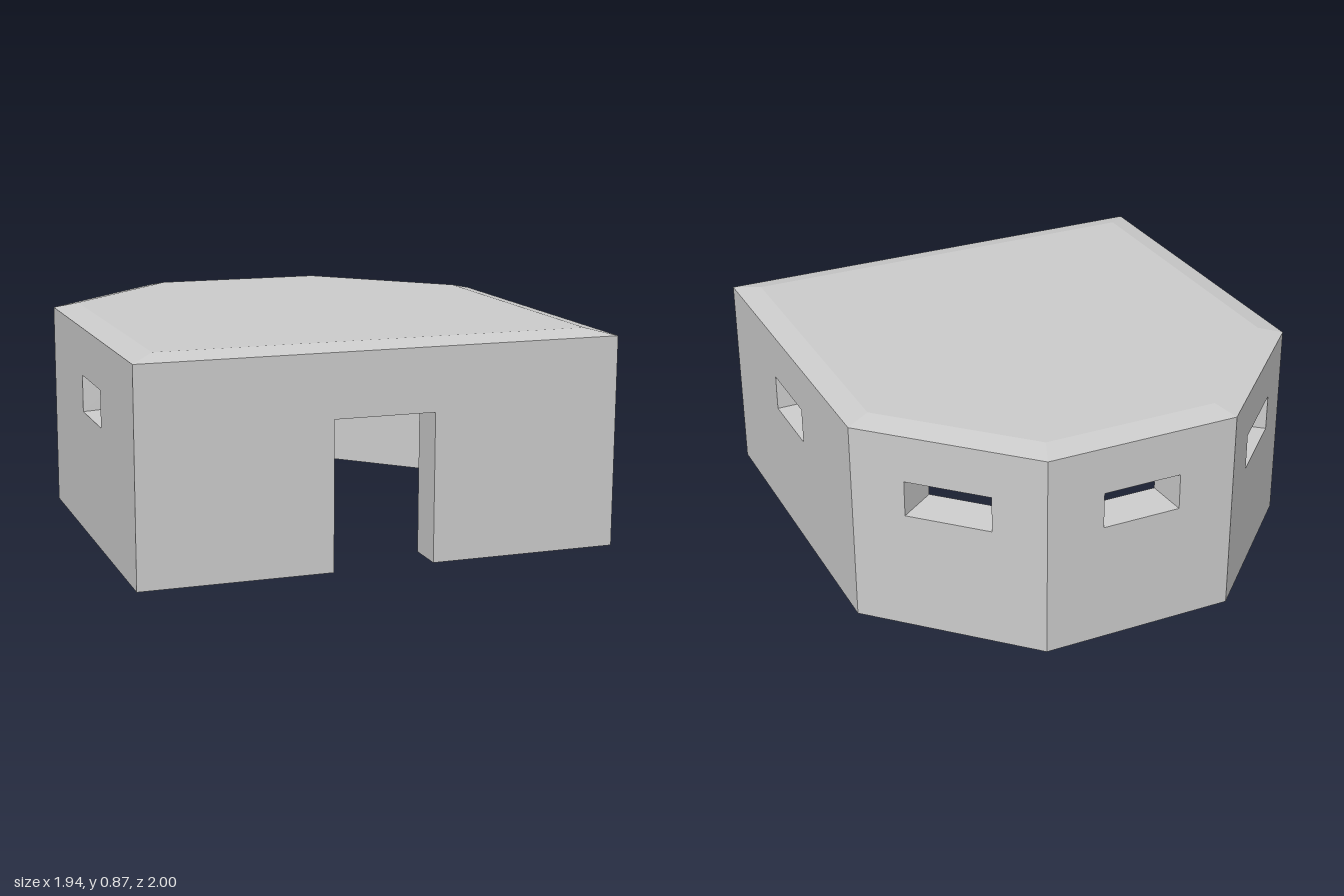
import * as THREE from 'three';

const WALL_H = 0.845, ROOF_H = 0.867, CEILING = 0.69, T = 0.16;
const material = new THREE.MeshStandardMaterial({ color: 0xcccccc, flatShading: true });

// Ground plan corners (x, z), starting at the front right, each wall running to the next corner
const plan = [[-0.968, 1], [0.968, 1], [0.968, -0.438], [0.402, -1], [-0.402, -1], [-0.968, -0.438]]
  .map(([x, z]) => new THREE.Vector2(x, z));
const corner = i => plan[(i + plan.length) % plan.length];
const direction = i => corner(i + 1).clone().sub(corner(i)).normalize();

// How far the inner face of a wall is shortened at a corner so that walls meet in a mitre
const mitre = i => T * Math.tan(Math.acos(direction(i - 1).dot(direction(i))) / 2);

// Applies a rule to every vertex, then rebuilds flat normals
function reshape(geometry, rule) {
  const p = geometry.attributes.position, v = new THREE.Vector3();
  for (let i = 0; i < p.count; i++) {
    rule(v.fromBufferAttribute(p, i));
    p.setXYZ(i, v.x, v.y, v.z);
  }
  geometry.computeVertexNormals();
  return geometry;
}

// One wall with mitred ends and either a doorway or a splayed gun slit
function makeWall(i, { name, door, slit }) {
  const a = corner(i), b = corner(i + 1), d = direction(i), half = a.distanceTo(b) / 2;
  const outline = [[-half, 0]];
  if (door) outline.push([-door.w / 2, 0], [-door.w / 2, door.h], [door.w / 2, door.h], [door.w / 2, 0]);
  outline.push([half, 0], [half, WALL_H], [-half, WALL_H]);
  const toPoints = list => list.map(([x, y]) => new THREE.Vector2(x, y));
  const shape = new THREE.Shape(toPoints(outline));
  if (slit) {
    const l = slit.u - slit.w / 2, r = slit.u + slit.w / 2;
    shape.holes.push(new THREE.Path(toPoints([[l, 0.5], [l, 0.65], [r, 0.65], [r, 0.5]])));
  }
  const geometry = new THREE.ExtrudeGeometry(shape, { depth: T, bevelEnabled: false }).translate(0, 0, -T);
  reshape(geometry, v => {
    if (v.z > -T / 2) return;
    if (v.x < -half + 1e-4) v.x += mitre(i);
    else if (v.x > half - 1e-4) v.x -= mitre(i + 1);
    else if (slit) {
      // Slits narrow towards the inside
      v.x = slit.u + (v.x - slit.u) * 0.284 / slit.w;
      v.y = 0.575 + (v.y - 0.575) * 0.82;
    }
  });
  const mesh = new THREE.Mesh(geometry, material);
  mesh.name = name;
  mesh.position.set((a.x + b.x) / 2, 0, (a.y + b.y) / 2);
  mesh.rotation.y = Math.atan2(-d.y, d.x);
  return mesh;
}

// Horizontal slab from plan points, between two heights
function makeSlab(name, points, y0, y1, topScale = 1) {
  const shape = new THREE.Shape(points.map(p => new THREE.Vector2(p.x, -p.y)));
  const geometry = new THREE.ExtrudeGeometry(shape, { depth: y1 - y0, bevelEnabled: false })
    .rotateX(-Math.PI / 2).translate(0, y0, 0);
  reshape(geometry, v => {
    if (v.y > (y0 + y1) / 2) { v.x *= topScale; v.z *= topScale; }
  });
  const mesh = new THREE.Mesh(geometry, material);
  mesh.name = name;
  return mesh;
}

export function createModel() {
  const bunker = new THREE.Group();
  bunker.name = 'bunker';

  // Walls
  [
    { name: 'frontWall', door: { w: 0.406, h: 0.592 } },
    { name: 'leftWall', slit: { u: -0.011, w: 0.327 } },
    { name: 'backLeftWall', slit: { u: 0, w: 0.355 } },
    { name: 'backWall', slit: { u: 0, w: 0.327 } },
    { name: 'backRightWall', slit: { u: 0, w: 0.355 } },
    { name: 'rightWall', slit: { u: 0.011, w: 0.327 } },
  ].forEach((spec, i) => bunker.add(makeWall(i, spec)));

  // Ceiling fits inside the walls
  const inner = plan.map((p, i) => {
    const d = direction(i);
    return new THREE.Vector2(p.x + d.x * mitre(i) + d.y * T, p.y + d.y * mitre(i) - d.x * T);
  });
  bunker.add(makeSlab('ceiling', inner, CEILING, WALL_H));

  // Roof with sloping edges
  bunker.add(makeSlab('roof', plan, WALL_H, ROOF_H, 0.9));
  return bunker;
}
